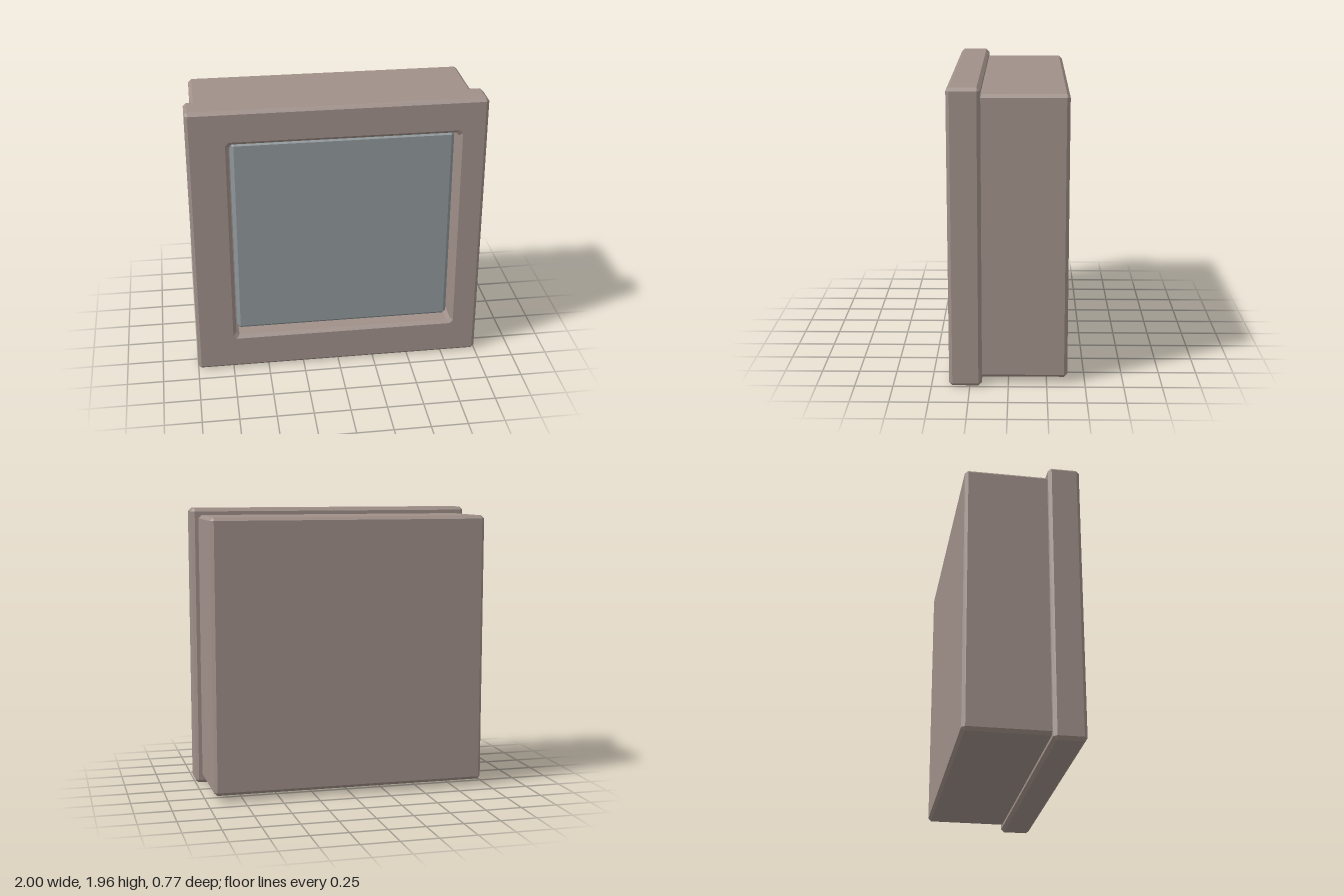
import * as THREE from 'three';

const CUT = 0.022; // width of every chamfer

// Eight-point rectangle with clipped corners, counterclockwise seen from +z.
// "grow" moves all sides outwards, "cut" is the corner clip.
function ring([x0, x1, y0, y1], z, grow = 0, cut = CUT) {
  const l = x0 - grow, r = x1 + grow, b = y0 - grow, t = y1 + grow;
  return [
    [l + cut, b], [r - cut, b], [r, b + cut], [r, t - cut],
    [r - cut, t], [l + cut, t], [l, t - cut], [l, b + cut],
  ].map(([x, y]) => new THREE.Vector3(x, y, z));
}

// All eight points at the middle, used to close a solid.
function centre([x0, x1, y0, y1], z) {
  return Array.from({ length: 8 }, () => new THREE.Vector3((x0 + x1) / 2, (y0 + y1) / 2, z));
}

// Joins consecutive rings with flat faces.
function loft(rings) {
  const positions = [];
  const triangle = (a, b, c) => {
    if (new THREE.Triangle(a, b, c).getArea() < 1e-8) return;
    for (const p of [a, b, c]) positions.push(p.x, p.y, p.z);
  };
  for (let i = 0; i < rings.length - 1; i++) {
    const a = rings[i], b = rings[i + 1];
    for (let j = 0; j < 8; j++) {
      const k = (j + 1) % 8;
      triangle(a[j], b[j], a[k]);
      triangle(b[j], b[k], a[k]);
    }
  }
  const geometry = new THREE.BufferGeometry();
  geometry.setAttribute('position', new THREE.Float32BufferAttribute(positions, 3));
  geometry.computeVertexNormals();
  return geometry;
}

// Outer skin of a chamfered box, from its front face to its back face.
function boxRings(rect, back, front) {
  return [
    ring(rect, front, -CUT, 0),
    ring(rect, front - CUT),
    ring(rect, back + CUT),
    ring(rect, back, -CUT, 0),
  ];
}

function chamferedBox(rect, back, front) {
  return loft([centre(rect, front), ...boxRings(rect, back, front), centre(rect, back)]);
}

export function createModel() {
  const group = new THREE.Group();
  const shell = new THREE.MeshStandardMaterial({ color: 0xa09089, flatShading: true });
  const glass = new THREE.MeshStandardMaterial({ color: 0x90989b, flatShading: true });
  const add = (name, geometry, material) => {
    const mesh = new THREE.Mesh(geometry, material);
    mesh.name = name;
    group.add(mesh);
  };

  // Front frame with a slightly off-centre chamfered opening
  const back = 0.172, front = 0.385;
  const opening = [-0.723, 0.808, 0.257, 1.718];
  const outside = boxRings([-1, 1, 0, 1.955], back, front);
  add('frontFrame', loft([
    ...outside,
    ring(opening, back, CUT),
    ring(opening, back + CUT),
    ring(opening, front - CUT),
    ring(opening, front, CUT),
    outside[0],
  ]), shell);

  // Deep housing, its front end set into the frame
  add('housing', chamferedBox([-0.953, 0.953, 0.043, 1.908], -0.385, 0.22), shell);

  // Recessed screen panel
  add('screen', chamferedBox([-0.71, 0.792, 0.274, 1.704], 0.18, 0.318), glass);

  return group;
}
